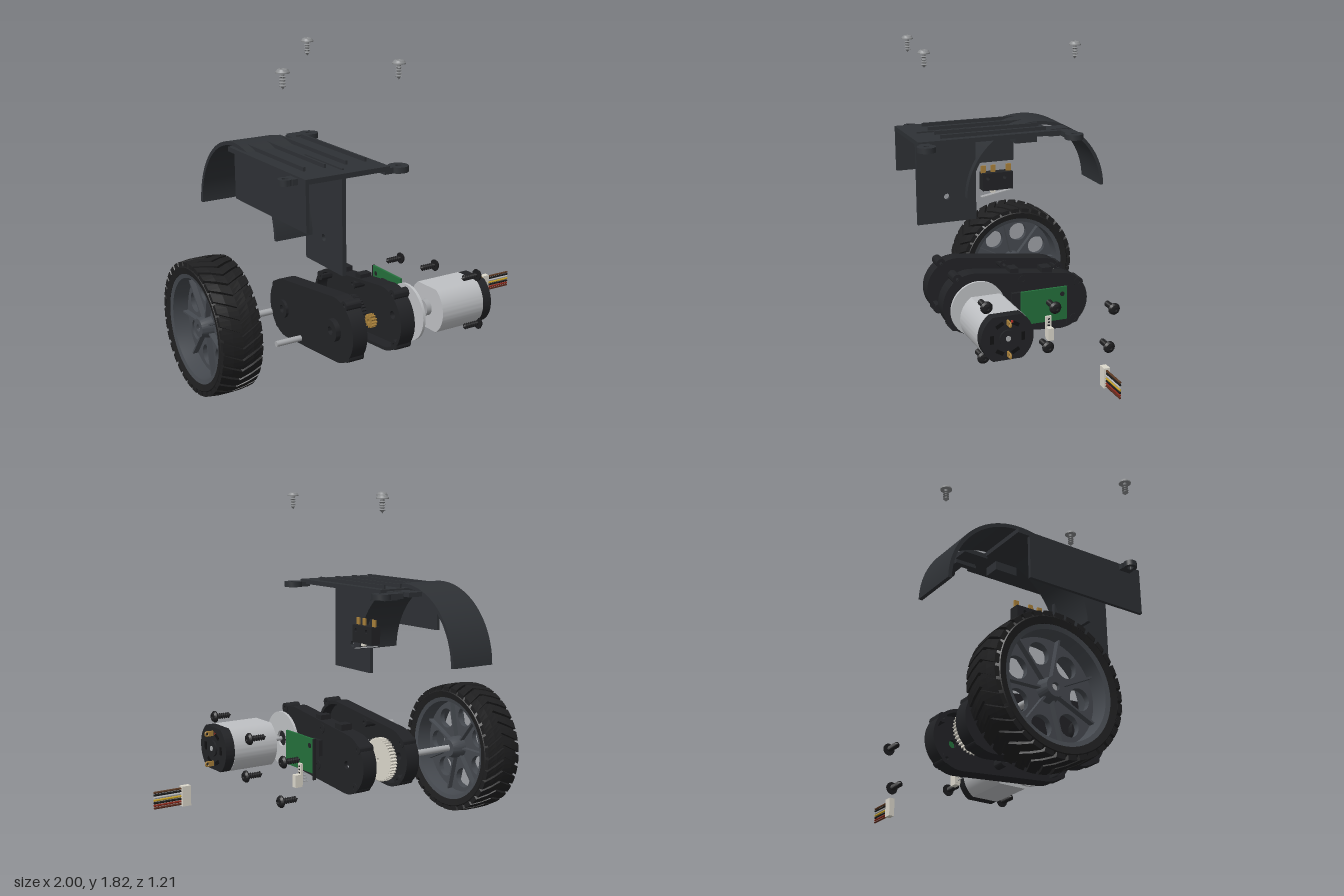
import * as THREE from 'three';
import { toCreasedNormals } from 'three/addons/utils/BufferGeometryUtils.js';

const MAT = {};
const mat = (c) => (MAT[c] ??= new THREE.MeshStandardMaterial({ color: c, side: THREE.DoubleSide }));
const BLACK = 0x222326, COVER = 0x2e3135, RIM = 0x464a50, RUBBER = 0x1f1f20, STEEL = 0xa8aaad, SILVER = 0xbfc1c4;
const BRASS = 0xa8803a, IVORY = 0xdcd8cc, GREEN = 0x24703c;
const AXLE = [0.367, -0.18], MOTOR = [0.425, 0.35]; // [y, z] of the two main axes

export function createModel() {
  const root = new THREE.Group();
  let parent = root;
  const group = (name) => { parent = new THREE.Group(); parent.name = name; root.add(parent); return parent; };
  const add = (name, geo, color, x = 0, y = 0, z = 0) => {
    const m = new THREE.Mesh(geo, mat(color));
    m.name = name;
    m.position.set(x, y, z);
    parent.add(m);
    return m;
  };
  // box given by its limits
  const box = (name, color, x0, x1, y0, y1, z0, z1) =>
    add(name, new THREE.BoxGeometry(x1 - x0, y1 - y0, z1 - z0), color, (x0 + x1) / 2, (y0 + y1) / 2, (z0 + z1) / 2);
  // rod along x
  const rod = (name, color, x0, x1, r, y, z, n = 24) =>
    add(name, new THREE.CylinderGeometry(r, r, x1 - x0, n).rotateZ(Math.PI / 2), color, (x0 + x1) / 2, y, z);
  // shape drawn in (-z, y), extruded along x
  const slab = (name, color, shape, x0, x1, y = 0, z = 0, seg = 20) => {
    const g = new THREE.ExtrudeGeometry(shape, { depth: x1 - x0, bevelEnabled: false, curveSegments: seg });
    return add(name, toCreasedNormals(g, 0.6).rotateY(Math.PI / 2), color, x0, y, z);
  };
  const lathe = (pts, seg = 48) => toCreasedNormals(new THREE.LatheGeometry(pts.map((p) => new THREE.Vector2(...p)), seg), 0.6);
  const circle = (r, x = 0, y = 0) => new THREE.Shape().absarc(x, y, r, 0, Math.PI * 2);
  const disc = (r, hole) => { const s = circle(r); s.holes.push(circle(hole)); return s; };

  // ---- Wheel
  group('wheel');
  const turned = (name, color, pts, x) => add(name, lathe(pts, 72).rotateZ(-Math.PI / 2), color, x, ...AXLE);
  turned('tyre', RUBBER, [[0.295, -0.108], [0.33, -0.115], [0.347, -0.1], [0.351, 0], [0.347, 0.1], [0.33, 0.115], [0.295, 0.108], [0.295, -0.108]], -0.885);
  const chevrons = 34;
  for (let i = 0; i < chevrons; i++) {
    const g = new THREE.BoxGeometry(0.226, 0.024, 0.05, 4, 1, 2);
    const p = g.attributes.position;
    for (let k = 0; k < p.count; k++) {
      const x = p.getX(k), edge = Math.abs(x) / 0.113;
      const a = (p.getZ(k) - Math.abs(x) * 0.5) / 0.36 + (i * Math.PI * 2) / chevrons;
      const r = 0.355 + p.getY(k) - 0.008 * edge ** 3;
      p.setXYZ(k, x, r * Math.cos(a), r * Math.sin(a));
    }
    const flat = g.toNonIndexed();
    flat.computeVertexNormals();
    add('treadBlock', flat, RUBBER, -0.885, ...AXLE);
  }
  turned('rim', RIM, [[0.272, -0.1], [0.3, -0.108], [0.3, 0.108], [0.272, 0.1], [0.265, 0], [0.272, -0.1]], -0.885);
  const web = circle(0.272);
  for (let i = 0; i < 7; i++) {
    const a = 0.44 + (i * Math.PI * 2) / 7, b = a + Math.PI / 7;
    web.holes.push(circle(0.056, 0.185 * Math.cos(a), 0.185 * Math.sin(a)));
    const rib = add('spokeRib', new THREE.BoxGeometry(0.09, 0.22, 0.01), RIM, -0.885, AXLE[0] + 0.16 * Math.sin(b), AXLE[1] - 0.16 * Math.cos(b));
    rib.rotation.x = b - Math.PI / 2;
  }
  slab('wheelDisc', RIM, web, -0.9, -0.87, ...AXLE);
  turned('hub', RIM, [[0.02, -0.08], [0.05, -0.08], [0.062, -0.02], [0.062, 0.06], [0.05, 0.1], [0.02, 0.1], [0.02, -0.08]], -0.885);
  rod('wheelAxle', STEEL, -0.95, -0.53, 0.018, ...AXLE);
  rod('spareShaft', STEEL, -0.79, -0.65, 0.015, ...MOTOR);

  // ---- Gearbox halves
  const A = [-0.35, 0.425, 0.175], B = [0.17, 0.37, 0.165];
  const outline = (inset) => {
    const phi = Math.atan2(B[1] - A[1], B[0] - A[0]);
    const t = Math.acos((A[2] - B[2]) / Math.hypot(B[0] - A[0], B[1] - A[1]));
    return new THREE.Shape().absarc(A[0], A[1], A[2] - inset, phi + t, phi + Math.PI * 2 - t)
      .absarc(B[0], B[1], B[2] - inset, phi - t, phi + t).closePath();
  };
  const screwSpots = [[0.58, 0.44], [0.31, 0.46], [0.525, 0.06], [0.47, -0.28], [0.255, -0.255], [0.31, 0.1]];
  const half = (name, x0, x1, floorAtMax) => {
    group(name);
    const wall = outline(0), floor = outline(0.003);
    wall.holes.push(outline(0.018));
    floor.holes.push(circle(0.022, -MOTOR[1], MOTOR[0]), circle(0.022, -AXLE[1], AXLE[0]));
    slab('housingWall', BLACK, wall, x0, x1);
    slab('housingFloor', BLACK, floor, floorAtMax ? x1 - 0.02 : x0, floorAtMax ? x1 : x0 + 0.02);
    for (const [y, z] of screwSpots) slab('screwBoss', BLACK, disc(0.027, 0.01), x0, x1 + 0.004, y, z);
  };
  half('outerGearboxHalf', -0.45, -0.365, false);
  slab('motorBearing', BLACK, disc(0.06, 0.022), -0.478, -0.45, ...MOTOR);
  slab('axleBearing', BLACK, disc(0.05, 0.022), -0.465, -0.45, ...AXLE);
  half('innerGearboxHalf', -0.16, -0.073, true);
  slab('motorCollar', BLACK, disc(0.055, 0.022), -0.073, -0.06, ...MOTOR);
  box('sensorMount', BLACK, -0.073, -0.052, 0.37, 0.46, 0.055, 0.13);
  box('topClip', BLACK, -0.15, -0.08, 0.53, 0.577, -0.12, -0.06);
  box('smallClip', BLACK, -0.15, -0.08, 0.55, 0.595, 0.08, 0.13);

  // ---- Gear train
  group('gearTrain');
  const gear = (name, color, r, n, x0, x1, y, z) => {
    const s = new THREE.Shape();
    for (let i = 0; i < n * 4; i++) {
      const a = ((i - 0.5) * Math.PI) / (n * 2), q = i % 4 < 2 ? r : r * (1 - 3 / n);
      s[i ? 'lineTo' : 'moveTo'](q * Math.cos(a), q * Math.sin(a));
    }
    s.closePath();
    s.holes.push(circle(0.011));
    slab(name, color, s, x0, x1, y, z, 8);
  };
  gear('outputGear', IVORY, 0.122, 40, -0.325, -0.285, ...AXLE);
  gear('motorPinion', BRASS, 0.037, 12, -0.245, -0.213, ...MOTOR);
  gear('firstGear', BLACK, 0.105, 36, -0.245, -0.22, 0.415, 0.205);
  gear('firstPinion', BLACK, 0.04, 14, -0.275, -0.245, 0.415, 0.205);
  gear('secondGear', IVORY, 0.075, 28, -0.27, -0.25, 0.4, 0.09);
  gear('secondPinion', IVORY, 0.035, 14, -0.315, -0.27, 0.4, 0.09);
  gear('thirdGear', STEEL, 0.07, 28, -0.31, -0.28, 0.39, -0.03);
  gear('thirdPinion', STEEL, 0.035, 14, -0.34, -0.31, 0.39, -0.03);
  for (const [y, z] of [[0.415, 0.205], [0.4, 0.09], [0.39, -0.03]]) rod('gearShaft', STEEL, -0.345, -0.18, 0.0105, y, z, 16);

  // ---- Motor with gasket disc
  group('motor');
  slab('gasketDisc', SILVER, disc(0.155, 0.045), -0.005, 0.01, ...MOTOR, 40);
  rod('motorShaft', STEEL, 0.012, 0.13, 0.012, ...MOTOR);
  rod('motorBoss', STEEL, 0.1, 0.132, 0.045, ...MOTOR);
  const flatted = (r, h) => {
    const a = Math.asin(h / r);
    return new THREE.Shape().absarc(0, 0, r, -a, a).absarc(0, 0, r, Math.PI - a, Math.PI + a).closePath();
  };
  slab('motorCan', SILVER, flatted(0.145, 0.12), 0.13, 0.4, ...MOTOR);
  slab('motorCap', BLACK, flatted(0.143, 0.12), 0.4, 0.455, ...MOTOR);
  rod('capBoss', BLACK, 0.455, 0.465, 0.045, ...MOTOR);
  rod('capBearing', STEEL, 0.465, 0.47, 0.014, ...MOTOR);
  for (let i = 0; i < 6; i++) {
    const a = (i * Math.PI) / 3;
    const m = add('capVent', new THREE.BoxGeometry(0.004, 0.02, 0.045), 0x111112, 0.456, MOTOR[0] + 0.085 * Math.sin(a), MOTOR[1] + 0.085 * Math.cos(a));
    m.rotation.x = Math.PI / 2 - a;
  }
  for (const s of [-1, 1]) {
    const y = MOTOR[0] + s * 0.085;
    box('motorTerminal', BRASS, 0.45, 0.485, y - 0.014, y + 0.014, 0.345, 0.355);
    add('terminalEye', new THREE.TorusGeometry(0.012, 0.005, 8, 16), BRASS, 0.493, y, 0.35);
  }
  box('polarityMark', 0xc03028, 0.455, 0.458, 0.505, 0.518, 0.318, 0.33);

  // ---- Sensor board
  group('sensorBoard');
  box('board', GREEN, 0.1, 0.113, 0.335, 0.525, -0.13, 0.14);
  box('boardEdge', BLACK, 0.098, 0.115, 0.3, 0.525, -0.137, -0.13);
  rod('boardHole', BLACK, 0.099, 0.116, 0.013, 0.485, -0.1);
  box('sensorChip', BLACK, 0.088, 0.1, 0.4, 0.44, 0.075, 0.115);
  box('boardChip', BLACK, 0.09, 0.1, 0.44, 0.48, -0.03, 0.01);
  box('socket', IVORY, 0.115, 0.16, 0.24, 0.31, -0.032, 0);
  box('socketBack', IVORY, 0.113, 0.125, 0.25, 0.37, -0.032, 0);
  for (let i = 0; i < 6; i++) {
    box('pin', STEEL, 0.07 + i * 0.007, 0.118, 0.262 + i * 0.017, 0.267 + i * 0.017, -0.018, -0.013);
    box('socketSlot', BLACK, 0.124, 0.127, 0.26 + i * 0.018, 0.268 + i * 0.018, -0.022, -0.01);
  }

  // ---- Cable plug
  group('cable');
  box('plug', IVORY, 0.8, 0.848, 0.25, 0.355, -0.04, -0.008);
  [0x5b3a24, 0x1c1c1c, 0xb8b8b8, 0xc9a227, 0x1c1c1c, 0x8c2a1c, 0x5b2a1c].forEach((c, i) =>
    rod('wire', c, 0.845, 1, 0.0055, 0.342 - i * 0.0135, -0.022, 10));

  // ---- Screws: head up at y = 0, tip down
  const screw = (len, color) => {
    const pts = [[0, -len]];
    for (let y = -len + 0.012; y < -0.012; y += 0.014) pts.push([0.009, y], [0.017, y + 0.005], [0.009, y + 0.01]);
    pts.push([0.011, 0], [0.033, 0], [0.033, 0.006], [0.024, 0.018], [0.011, 0.022], [0.009, 0.014], [0, 0.014]);
    return add('screw', lathe(pts, 16), color);
  };
  group('coverScrews');
  for (const [x, z] of [[-0.79, 0.475], [-0.205, 0.555], [-0.205, -0.305]]) screw(0.075, 0x8a8c8e).position.set(x, 1.795, z);
  group('gearboxScrews');
  for (const [y, z] of screwSpots) {
    const s = screw(0.1, 0x1c1c1e);
    s.rotation.z = -Math.PI / 2;
    s.position.set(0.39, y, z);
  }

  // ---- Cover with mudguard
  group('cover');
  box('topPlate', COVER, -0.74, -0.27, 1.285, 1.31, -0.21, 0.58);
  const strips = [[-0.665, -0.18, 0.44], [-0.55, -0.18, 0.44], [-0.43, -0.18, 0.44], [-0.32, -0.18, 0.44], [-0.5, 0.17, 0.52]];
  for (const [x, z0, z1] of strips) box('topRib', COVER, x - 0.006, x + 0.006, 1.3, z0 > 0 ? 1.318 : 1.33, z0, z1);
  const guard = new THREE.Shape().absarc(0, 0, 0.428, 0.03, Math.PI - 0.03).absarc(0, 0, 0.408, Math.PI - 0.03, 0.03, true).closePath();
  slab('mudguard', COVER, guard, -0.72, -0.45, 0.905, AXLE[1], 40);
  box('outerSideWall', COVER, -0.74, -0.722, 1.05, 1.29, -0.14, 0.58);
  const hanger = new THREE.Shape([[-0.53, 0.78], [-0.18, 0.78], [-0.18, 1.29], [-0.53, 1.29]].map((p) => new THREE.Vector2(...p)));
  hanger.holes.push(circle(0.018, -0.355, 0.93));
  slab('hangingWall', COVER, hanger, -0.512, -0.49);
  box('rearLedge', COVER, -0.45, -0.362, 1.275, 1.3, -0.34, -0.2);
  box('switchBracket', COVER, -0.44, -0.35, 1.237, 1.29, -0.14, -0.01);
  box('rearArm', COVER, -0.34, -0.31, 1.27, 1.3, -0.32, -0.2);
  box('rearArm', COVER, -0.32, -0.23, 1.27, 1.3, -0.345, -0.27);
  box('frontArm', COVER, -0.3, -0.23, 1.27, 1.3, 0.52, 0.58);
  box('sideArm', COVER, -0.77, -0.73, 1.27, 1.3, 0.44, 0.51);
  for (const [x, z, r] of [[-0.79, 0.475, 0.035], [-0.205, 0.555, 0.052], [-0.205, -0.305, 0.052]]) {
    const g = new THREE.ExtrudeGeometry(disc(r, 0.016), { depth: 0.03, bevelEnabled: false, curveSegments: 16 });
    add('screwTab', toCreasedNormals(g, 0.6).rotateX(Math.PI / 2), COVER, x, 1.3, z);
  }

  // ---- Micro switch
  group('microSwitch');
  const body = new THREE.Shape([[-0.18, 0.975], [0, 0.975], [0, 1.075], [-0.18, 1.075]].map((p) => new THREE.Vector2(...p)));
  body.holes.push(circle(0.011, -0.15, 1.045), circle(0.011, -0.05, 1.045));
  slab('switchBody', BLACK, body, -0.428, -0.366);
  for (const z of [0.185, 0.107, 0.015]) {
    const b = Math.min(z, 0.165);
    box('switchTerminal', BRASS, -0.402, -0.392, 1.07, 1.115, b - 0.012, b + 0.016);
  }
  const lever = box('switchLever', STEEL, -0.412, -0.382, 0.948, 0.953, 0, 0.185);
  lever.rotation.x = 0.17;
  box('switchButton', IVORY, -0.407, -0.387, 0.955, 0.978, 0.1, 0.125);

  return root;
}
